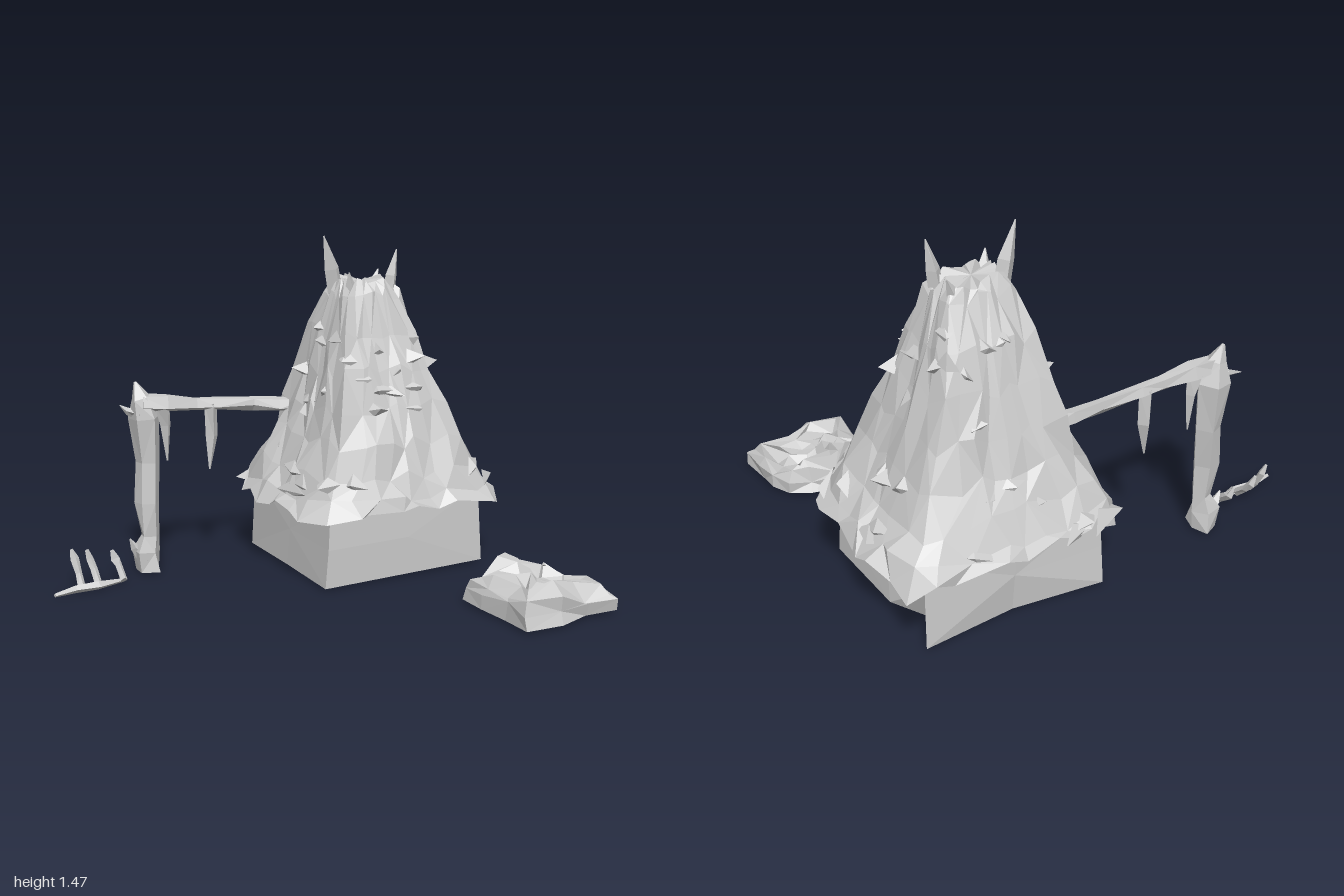
import * as THREE from 'three';

const V = (x, y, z) => new THREE.Vector3(x, y, z);
const mat = new THREE.MeshStandardMaterial({ color: 0xcccccc, flatShading: true, side: THREE.DoubleSide });

// Small seeded generator, returns -1..1
function seeded(seed) {
  return () => {
    seed = (seed * 16807) % 2147483647;
    return (seed / 2147483647) * 2 - 1;
  };
}

function mesh(geometry, name) {
  const m = new THREE.Mesh(geometry, mat);
  m.name = name;
  return m;
}

// Skin equal-length rings of points, bottom ring first, with optional caps
function loft(rings, capBottom = true, capTop = true) {
  const pos = [];
  const tri = (...pts) => pts.forEach((p) => pos.push(p.x, p.y, p.z));
  const n = rings[0].length;
  for (let r = 0; r < rings.length - 1; r++) {
    for (let i = 0; i < n; i++) {
      const j = (i + 1) % n, a = rings[r], b = rings[r + 1];
      if ((i + r) % 2) {
        tri(a[i], b[i], a[j]);
        tri(a[j], b[i], b[j]);
      } else {
        tri(a[i], b[i], b[j]);
        tri(a[i], b[j], a[j]);
      }
    }
  }
  const cap = (ring, up) => {
    const c = ring.reduce((s, p) => s.add(p), V(0, 0, 0)).divideScalar(n);
    ring.forEach((p, i) => {
      const q = ring[(i + 1) % n];
      if (up) tri(c, q, p); else tri(c, p, q);
    });
  };
  if (capBottom) cap(rings[0], false);
  if (capTop) cap(rings[rings.length - 1], true);
  const g = new THREE.BufferGeometry();
  g.setAttribute('position', new THREE.Float32BufferAttribute(pos, 3));
  g.computeVertexNormals();
  return g;
}

// Gnarled branch: path entries are [x, y, z, radius]
function branch(path, sides, rough, seed) {
  const rnd = seeded(seed);
  const pts = path.map((p) => V(p[0], p[1], p[2]));
  return loft(pts.map((p, k) => {
    const d = pts[Math.min(k + 1, pts.length - 1)].clone().sub(pts[Math.max(k - 1, 0)]).normalize();
    const ref = Math.abs(d.z) < 0.9 ? V(0, 0, 1) : V(1, 0, 0);
    const u = d.clone().cross(ref).normalize();
    const v = u.clone().cross(d);
    return Array.from({ length: sides }, (_, i) => {
      const a = (i / sides) * Math.PI * 2, r = path[k][3] * (1 + rough * rnd());
      return p.clone().addScaledVector(u, Math.cos(a) * r).addScaledVector(v, Math.sin(a) * r);
    });
  }));
}

// Roof cross-sections: y, x min, x max, z min, z max, corner sharpness
const roofProfile = [
  [0.30, -0.05, 0.98, -0.82, 0.085, 5],
  [0.38, 0.0, 0.92, -0.78, 0.05, 6],
  [0.47, 0.05, 0.85, -0.73, 0.01, 8],
  [0.60, 0.12, 0.77, -0.67, -0.03, 12],
  [0.74, 0.16, 0.72, -0.63, -0.09, 14],
  [0.90, 0.20, 0.67, -0.59, -0.14, 14],
  [1.06, 0.235, 0.62, -0.54, -0.195, 12],
  [1.22, 0.28, 0.57, -0.47, -0.25, 8],
  [1.27, 0.31, 0.53, -0.45, -0.29, 6],
];

// Point on a rounded-square section at angle a
function onSection([y, x0, x1, z0, z1, e], a) {
  const c = Math.cos(a), s = Math.sin(a);
  const k = 1 / Math.pow(Math.abs(c) ** e + Math.abs(s) ** e, 1 / e);
  return V((x0 + x1) / 2 + (x1 - x0) / 2 * c * k, y, (z0 + z1) / 2 + (z1 - z0) / 2 * s * k);
}

function createHut() {
  const hut = new THREE.Group();
  hut.name = 'hut';

  // Walls, undercut near the back of the left side
  const foot = [[0.85, 0], [0.45, 0], [0.03, 0], [0.05, -0.38], [0.06, -0.74], [0.45, -0.70], [0.84, -0.74], [0.71, -0.64], [0.83, -0.42]];
  const middle = [[0.84, -0.005], [0.45, 0], [0.045, 0], [0.06, -0.37], [0.065, -0.73], [0.45, -0.72], [0.835, -0.73], [0.78, -0.64], [0.82, -0.39]];
  const head = [[0.83, -0.01], [0.45, -0.01], [0.06, -0.01], [0.07, -0.36], [0.07, -0.72], [0.45, -0.73], [0.83, -0.72], [0.82, -0.64], [0.82, -0.36]];
  const level = (pts, y) => pts.map(([x, z]) => V(x, y, z));
  hut.add(mesh(loft([level(foot, 0.012), level(middle, 0.18), level(head, 0.36)]), 'walls'));

  // Thatched roof with a ragged eave that droops at the corners
  const rnd = seeded(421), n = 32;
  const rings = roofProfile.map((sec, r) => Array.from({ length: n }, (_, i) => {
    const corner = i % 8 === 4;
    const a = ((i + (corner ? 0 : rnd() * 0.4)) / n) * Math.PI * 2;
    const p = onSection(sec, a);
    if (r === 0) return p.add(V(rnd() * 0.03, (corner ? -0.01 : 0.025) + rnd() * 0.025, rnd() * 0.025));
    const j = r > 5 ? 0.006 : 0.011;
    return p.add(V(rnd() * j, rnd() * 0.03, rnd() * j));
  }));
  const lip = Array.from({ length: n }, (_, i) =>
    onSection([0.35 + rnd() * 0.01, 0.05, 0.85, -0.74, 0.0, 11], (i / n) * Math.PI * 2));
  hut.add(mesh(loft([lip, ...rings], false, true), 'roof'));

  // Broad straw tufts lifting off the slopes
  const tufts = new THREE.Group();
  tufts.name = 'strawTufts';
  for (let i = 0; i < 52; i++) {
    const t = 0.3 + Math.abs(rnd()) * 6, k = Math.floor(t), f = t - k;
    const sec = roofProfile[k].map((v, c) => v + (roofProfile[k + 1][c] - v) * f);
    const base = onSection(sec, i * 2.39996);
    const out = V(base.x - (sec[1] + sec[2]) / 2, 0, base.z - (sec[3] + sec[4]) / 2).normalize();
    const side = V(-out.z, 0, out.x);
    const w = (0.06 + Math.abs(rnd()) * 0.06) * (1 - t * 0.08), reach = 0.012 + Math.abs(rnd()) ** 3 * 0.05;
    const ring = [[-w, 0.03 * rnd(), -0.015], [w * 0.2, 0.05, -0.03], [w, 0.03 * rnd(), -0.015], [0, -0.015, -0.005]].map(([s, y, o]) =>
      base.clone().addScaledVector(side, s).addScaledVector(out, o).add(V(0, y, 0)));
    const tip = base.clone().addScaledVector(out, reach).addScaledVector(side, rnd() * w).add(V(0, 0.01 + rnd() * 0.02, 0));
    tufts.add(mesh(loft([ring, ring.map(() => tip)], false, false), 'tuft'));
  }
  hut.add(tufts);

  // Ragged peaks around the crown
  const peaks = [
    [0.33, -0.41, 0.265, 1.47, -0.42, 0.045], [0.53, -0.31, 0.56, 1.41, -0.29, 0.04],
    [0.34, -0.31, 0.31, 1.32, -0.28, 0.035], [0.51, -0.42, 0.56, 1.31, -0.44, 0.035],
  ];
  peaks.forEach(([x, z, tx, ty, tz, r], i) => hut.add(mesh(branch([
    [x, 1.18, z, r], [x * 0.55 + tx * 0.45, 1.18 + (ty - 1.18) * 0.5, z * 0.55 + tz * 0.45, r * 0.8], [tx, ty, tz, 0.003]], 4, 0.25, 31 + i), 'crownPeak')));
  return hut;
}

function createArm() {
  const arm = new THREE.Group();
  arm.name = 'hangingArm';
  // Post, beam and the splinters hanging below it
  arm.add(mesh(branch([[-0.515, 0.012, -0.63, 0.066], [-0.52, 0.1, -0.63, 0.06], [-0.505, 0.17, -0.63, 0.042],
    [-0.515, 0.32, -0.63, 0.052], [-0.505, 0.5, -0.64, 0.05], [-0.51, 0.7, -0.64, 0.062], [-0.525, 0.79, -0.64, 0.045], [-0.545, 0.86, -0.65, 0.006]], 5, 0.25, 7), 'post'));
  arm.add(mesh(branch([[-0.53, 0.765, -0.63, 0.045], [-0.42, 0.755, -0.62, 0.04], [-0.28, 0.74, -0.615, 0.03], [-0.18, 0.735, -0.61, 0.036],
    [0.0, 0.72, -0.6, 0.03], [0.12, 0.7, -0.59, 0.036], [0.25, 0.69, -0.57, 0.03]], 5, 0.25, 19), 'beam'));
  const spikes = [
    [[-0.44, 0.75, -0.62, 0.036], [-0.42, 0.66, -0.62, 0.024], [-0.415, 0.5, -0.62, 0.004]],
    [[-0.21, 0.74, -0.61, 0.034], [-0.205, 0.59, -0.61, 0.032], [-0.22, 0.44, -0.6, 0.004]],
    [[-0.53, 0.72, -0.63, 0.035], [-0.58, 0.73, -0.66, 0.016], [-0.595, 0.75, -0.71, 0.002]],
    [[-0.53, 0.06, -0.63, 0.04], [-0.575, 0.12, -0.64, 0.02], [-0.595, 0.16, -0.64, 0.004]],
  ];
  spikes.forEach((p, i) => arm.add(mesh(branch(p, 4, 0.2, 50 + i), 'splinter')));
  return arm;
}

function createRake() {
  const rake = new THREE.Group();
  rake.name = 'rake';
  // Low bar with three upturned teeth
  rake.add(mesh(branch([[-1, 0.018, -0.485, 0.01], [-0.9, 0.022, -0.51, 0.018], [-0.8, 0.022, -0.505, 0.022], [-0.675, 0.016, -0.535, 0.009]], 4, 0.2, 3), 'bar'));
  [[-0.875, 0.17, -0.6], [-0.8, 0.15, -0.62], [-0.685, 0.13, -0.62]].forEach(([x, y, z], i) =>
    rake.add(mesh(branch([[x + 0.01, 0.02, -0.52, 0.018], [x + 0.01, 0.07, z + 0.04, 0.016], [x + 0.005, y - 0.04, z + 0.01, 0.018], [x - 0.005, y, z, 0.007]], 4, 0.2, 70 + i), 'tooth')));
  return rake;
}

// Rubble heap: stacked outlines with a lumpy top, open underneath
function createRubble() {
  const rnd = seeded(1234);
  const outline = [[0.92, 0.66], [0.92, 0.82], [0.78, 0.81], [0.63, 0.83], [0.455, 0.82], [0.46, 0.68],
    [0.46, 0.54], [0.455, 0.41], [0.55, 0.40], [0.64, 0.36], [0.69, 0.41], [0.78, 0.45], [0.86, 0.48], [0.90, 0.57]];
  // Each level: inset scale, height, vertical and sideways scatter
  const levels = [[1, 0.015, 0.004, 0.01], [0.99, 0.07, 0.025, 0.015], [0.93, 0.135, 0.035, 0.015],
    [0.74, 0.16, 0.04, 0.025], [0.48, 0.15, 0.045, 0.03], [0.22, 0.14, 0.04, 0.02]];
  const rings = levels.map(([s, h, jy, jx]) => outline.map(([x, z]) => {
    const low = x > 0.76 && h > 0.1 ? 0.04 : 0;
    return V(0.68 + (x - 0.68) * s + rnd() * jx, h - low + rnd() * jy, 0.61 + (z - 0.61) * s + rnd() * jx);
  }));
  return mesh(loft(rings, false, true), 'rubbleHeap');
}

export function createModel() {
  const model = new THREE.Group();
  model.name = 'thatchedHutScene';
  model.add(createHut(), createArm(), createRake(), createRubble());
  return model;
}
